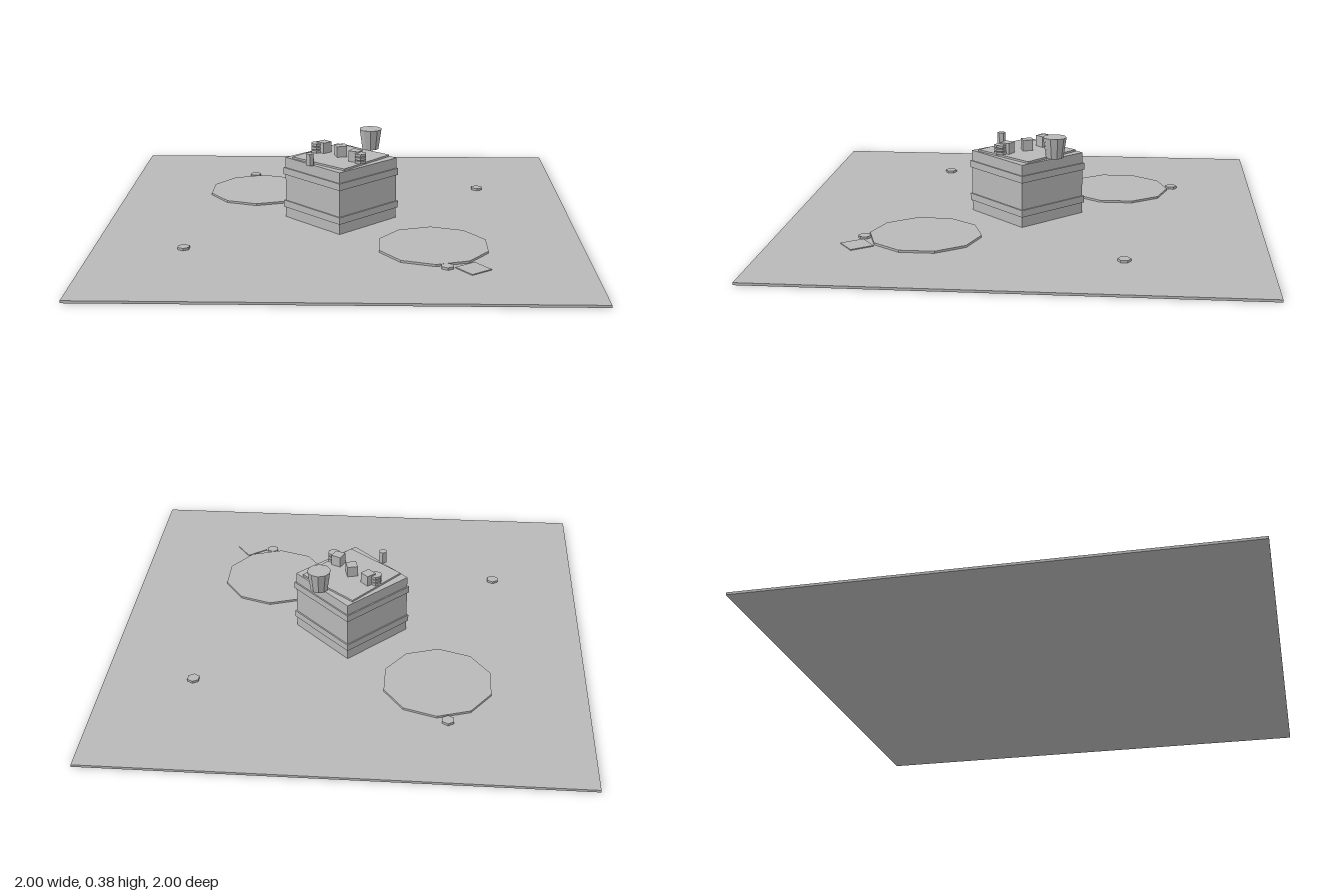
import * as THREE from 'three';

export function createModel() {
  const model = new THREE.Group();
  const grey = new THREE.MeshStandardMaterial({ color: 0xb8b8b8, flatShading: true });
  grey.name = 'plain grey';

  // Every part sits with its underside at y.
  function add(name, geometry, height, x, y, z, turn = 0) {
    const mesh = new THREE.Mesh(geometry, grey);
    mesh.name = name;
    mesh.position.set(x, y + height / 2, z);
    mesh.rotation.y = turn;
    model.add(mesh);
  }
  const box = (name, w, h, d, x, y, z, turn) =>
    add(name, new THREE.BoxGeometry(w, h, d), h, x, y, z, turn);
  const disc = (name, rTop, rBottom, h, sides, x, y, z) =>
    add(name, new THREE.CylinderGeometry(rTop, rBottom, h, sides), h, x, y, z);

  // Ground sheet
  box('ground', 2, 0.01, 2, 0, 0, 0);

  // Crate set on its corner, with two bands
  const diagonal = Math.PI / 4;
  box('crate', 0.34, 0.28, 0.34, 0, 0, 0, diagonal);
  for (const y of [0.056, 0.204]) box('crateBand', 0.352, 0.03, 0.352, 0, y, 0, diagonal);

  // Board lying slightly askew on the crate
  const table = 0.288;
  box('board', 0.295, 0.008, 0.3, 0, 0.28, 0, -0.69);

  // Round seat mats at opposite corners
  for (const s of [-1, 1]) disc('seatMat', 0.232, 0.232, 0.019, 10, s * 0.385, 0, s * 0.385);

  // Single tokens on the ground
  for (const [x, z] of [[0.43, 0.63], [0.63, -0.433], [-0.43, -0.636], [-0.63, 0.43]]) {
    disc('groundToken', 0.027, 0.027, 0.01, 6, x, 0.01, z);
  }

  // Note beside the front mat
  box('note', 0.1, 0.004, 0.1, 0.53, 0.01, 0.64, 0.64);

  // Cup
  disc('cup', 0.05, 0.037, 0.089, 10, 0.128, table, -0.128);

  // Small peg on the crate corner
  disc('peg', 0.018, 0.018, 0.052, 6, -0.128, 0.28, 0.125);

  // Cubes
  for (const [x, z, turn] of [[0, 0, 0.25], [-0.075, -0.064, 0.75], [0.064, 0.08, -0.45]]) {
    box('cube', 0.045, 0.047, 0.045, x, table, z, turn);
  }

  // Token stacks
  for (const [x, z] of [[-0.107, -0.064], [0.085, 0.107]]) {
    for (let i = 0; i < 3; i++) {
      disc('stackedToken', 0.027, 0.027, 0.011, 6, x, table + i * 0.015, z);
    }
  }
  return model;
}
